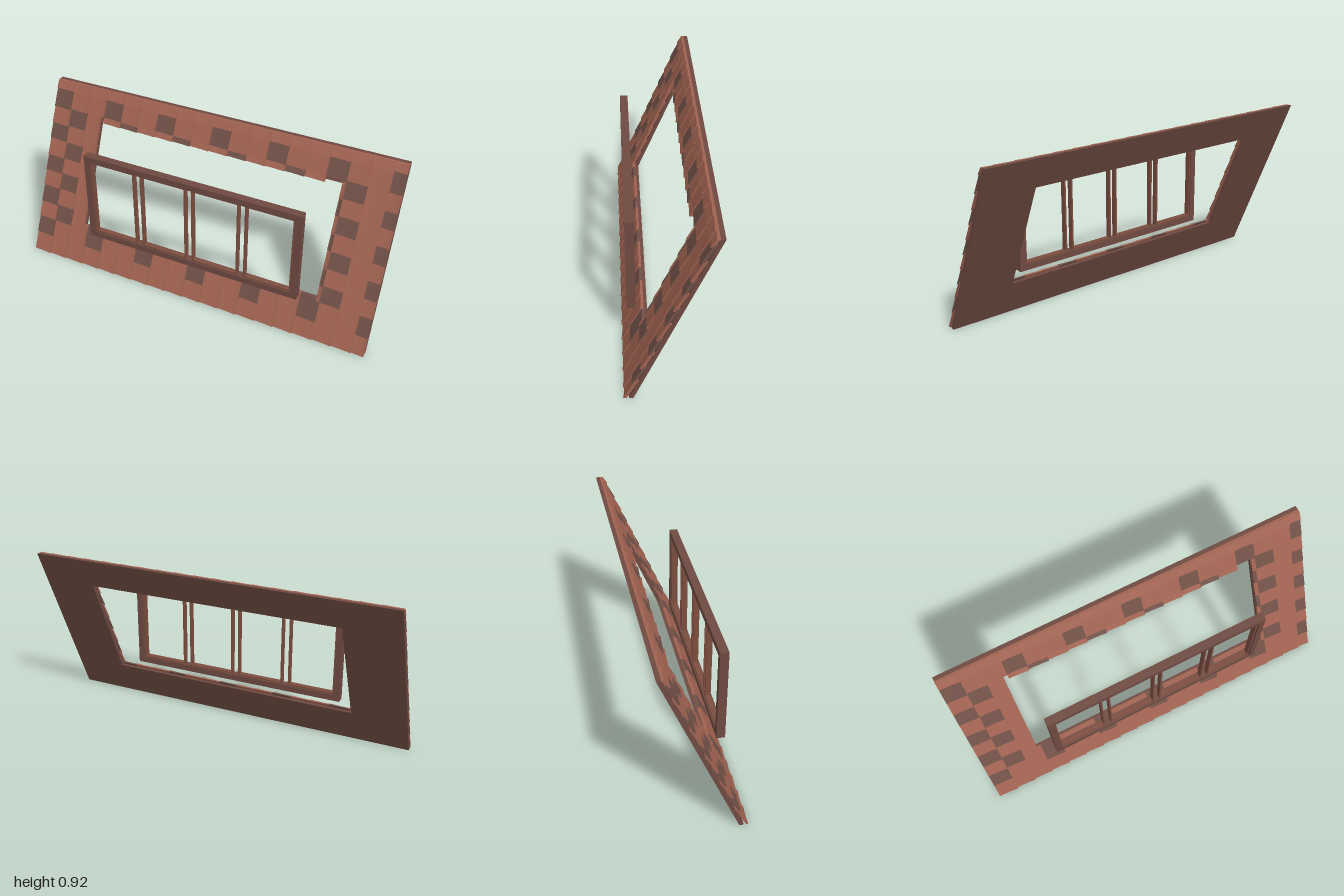
import * as THREE from 'three';
import { mergeGeometries } from 'three/addons/utils/BufferGeometryUtils.js';

const W = 1, H = 0.915;                       // half width and height of the roof panel
const HOLE = { x: 0.7, y0: 0.19, y1: 0.755 };  // opening in the roof
const COL = 0.1075;                           // tile width
const ROWS = [0, 0.096, 0.19, 0.275, 0.36, 0.445, 0.53, 0.615, 0.7, 0.786, 0.877, H];

// Leans upright geometry back along the roof pitch, keeping its ends level
const lean = new THREE.Matrix4().set(1, 0, 0, 0, 0, 1, 0, 0, 0, -0.432, 1, 0.173, 0, 0, 0, 1);

function material(name, color) {
  const m = new THREE.MeshStandardMaterial({ color });
  m.name = name;
  return m;
}

function rect(Type, x0, y0, x1, y1) {
  return new Type([[x0, y0], [x1, y0], [x1, y1], [x0, y1]].map(p => new THREE.Vector2(...p)));
}

// Rectangular ring extruded along z
function ring(x0, y0, x1, y1, bar, depth) {
  const s = rect(THREE.Shape, x0, y0, x1, y1);
  s.holes.push(rect(THREE.Path, x0 + bar, y0 + bar, x1 - bar, y1 - bar));
  return new THREE.ExtrudeGeometry(s, { depth, bevelEnabled: false });
}

// One tile: lower end rides over the row below, right edge stands proud
function tile(x0, x1, y0, y1) {
  const g = new THREE.BoxGeometry(x1 - x0, y1 - y0, 1, 3, 1, 1);
  g.translate((x0 + x1) / 2, (y0 + y1) / 2, 0);
  const p = g.attributes.position;
  for (let i = 0; i < p.count; i++) {
    const u = (p.getX(i) - x0) / (x1 - x0);
    const low = 1 - (p.getY(i) - y0) / (y1 - y0);
    const wave = 0.006 * u * u;
    const z = p.getZ(i) > 0 ? 0.034 + 0.009 * low + wave : 0.022 + 0.011 * low;
    p.setZ(i, z);
  }
  g.applyMatrix4(lean);
  g.computeVertexNormals();
  return g;
}

export function createModel() {
  const model = new THREE.Group();
  model.name = 'roofWindow';
  const tileRed = material('tileRed', 0xa06250);
  const tileBrown = material('tileBrown', 0x705047);
  const wood = material('wood', 0x6e4a41);
  const sashWood = material('sashWood', 0x7c4d3f);

  const add = (geometry, mat, name) => {
    const mesh = new THREE.Mesh(geometry, mat);
    mesh.name = name;
    model.add(mesh);
    return mesh;
  };

  // Backing board with the opening cut through it
  const board = rect(THREE.Shape, -W, 0, W, H);
  board.holes.push(rect(THREE.Path, -HOLE.x, HOLE.y0, HOLE.x, HOLE.y1));
  const boardGeo = new THREE.ExtrudeGeometry(board, { depth: 0.022, bevelEnabled: false });
  add(boardGeo.applyMatrix4(lean), wood, 'backingBoard');

  // Rows of tiles around the opening
  const red = [], brown = [];
  let seed = 7;
  const rand = () => (seed = (seed * 16807) % 2147483647) / 2147483647;
  for (let r = 0; r < ROWS.length - 1; r++) {
    const beside = r >= 2 && r <= 8;
    for (let c = 0; c < 19; c++) {
      let x0 = -W + c * COL, x1 = Math.min(x0 + COL, W);
      let y0 = ROWS[r] - (r > 0 ? rand() * 0.008 : 0);
      const y1 = Math.min(ROWS[r + 1] + 0.012, H);
      const dark = r % 2 === 1 ? c % 3 === 0 : beside && c % 3 === 1;
      const list = dark ? brown : red;
      if (beside) {
        const inner = x0 > -HOLE.x && x1 < HOLE.x;
        if (inner && r < 8) continue;
        if (inner) y0 = HOLE.y1 - 0.002;
        else if (x0 < -HOLE.x) x1 = Math.min(x1, -HOLE.x);
        else x0 = Math.max(x0, HOLE.x);
      }
      if (x1 - x0 > 0.01) list.push(tile(x0, x1, y0, y1));
    }
  }
  add(mergeGeometries(red), tileRed, 'redTiles');
  add(mergeGeometries(brown), tileBrown, 'brownTiles');

  // Upright window frame standing in front of the opening
  add(ring(-0.613, 0.21, 0.613, 0.73, 0.034, 0.044), wood, 'windowFrame').position.z = 0.148;

  // Four slim sashes with gaps between them
  [-0.449, -0.15, 0.147, 0.445].forEach((x, i) => {
    add(ring(x - 0.132, 0.243, x + 0.132, 0.697, 0.009, 0.03), sashWood, 'sash' + (i + 1)).position.z = 0.155;
  });

  return model;
}
